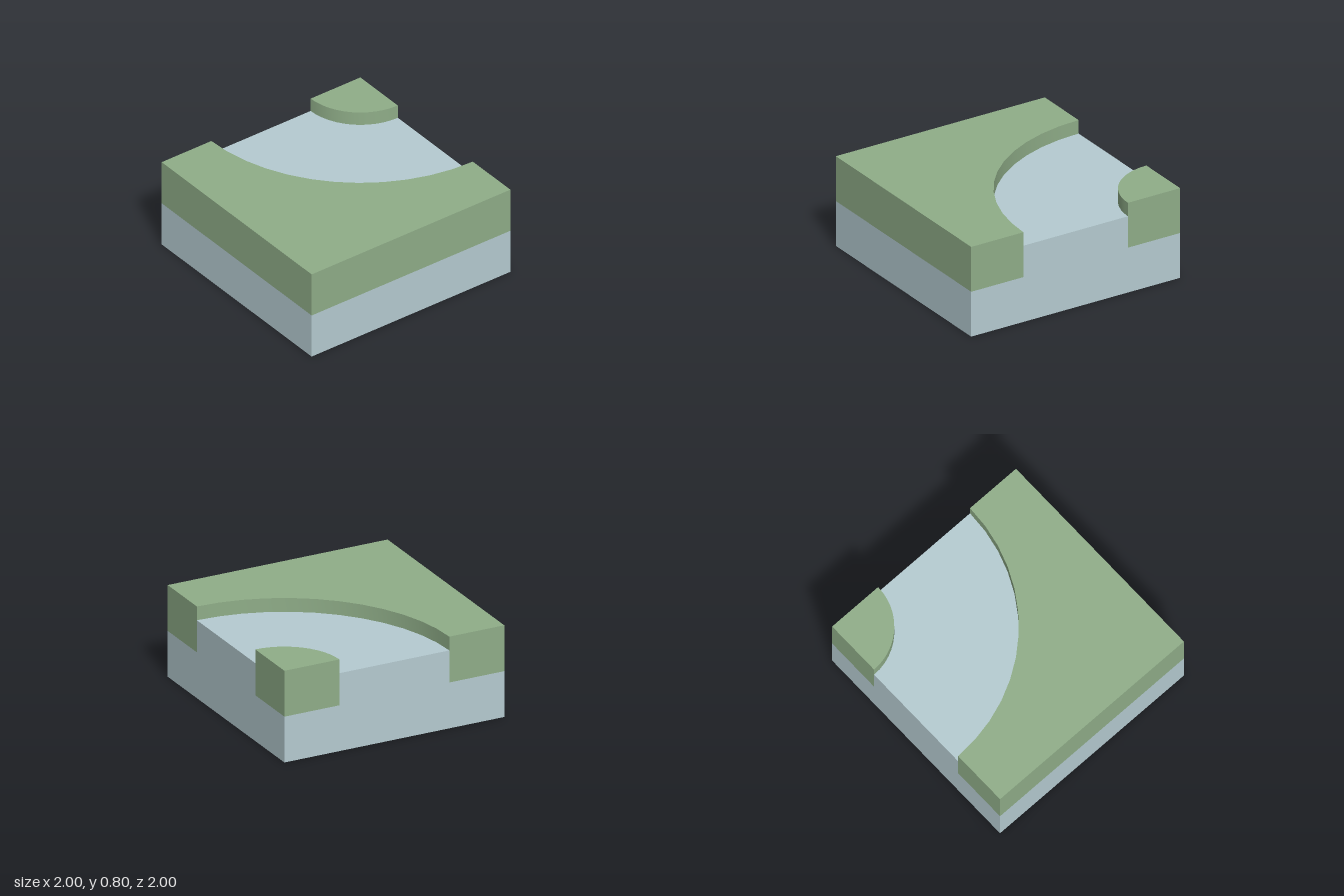
import * as THREE from 'three';
import { toCreasedNormals } from 'three/addons/utils/BufferGeometryUtils.js';

const grass = new THREE.MeshStandardMaterial({ color: 0x8fad88 });
const water = new THREE.MeshStandardMaterial({ color: 0xb5cbd1 });

const BASE_TOP = 0.4, WATER_TOP = 0.68, BANK_TOP = 0.8;
const INNER = 0.5, OUTER = 1.5; // river bend radii about the back right corner

// Plan outlines are drawn with y pointing to the back (-z).
function slab(name, shape, bottom, top, material) {
  const geo = new THREE.ExtrudeGeometry(shape, {
    depth: top - bottom, bevelEnabled: false, curveSegments: 6,
  });
  geo.rotateX(-Math.PI / 2).translate(0, bottom, 0);
  const mesh = new THREE.Mesh(toCreasedNormals(geo, 0.6), material);
  mesh.name = name;
  return mesh;
}

export function createModel() {
  const group = new THREE.Group();
  group.name = 'riverBendTile';

  // Square base block
  const base = new THREE.Mesh(new THREE.BoxGeometry(2, BASE_TOP, 2), water);
  base.position.y = BASE_TOP / 2;
  base.name = 'base';
  group.add(base);

  // Curved river channel
  const river = new THREE.Shape();
  river.moveTo(-1, 1 - OUTER);
  river.absarc(-1, 1, OUTER, -Math.PI / 2, 0, false);
  river.lineTo(-1 + INNER, 1);
  river.absarc(-1, 1, INNER, 0, -Math.PI / 2, true);
  river.closePath();
  group.add(slab('river', river, BASE_TOP, WATER_TOP, water));

  // Large bank outside the bend
  const outer = new THREE.Shape();
  outer.moveTo(-1, -1);
  outer.lineTo(1, -1);
  outer.lineTo(1, 1);
  outer.lineTo(-1 + OUTER, 1);
  outer.absarc(-1, 1, OUTER, 0, -Math.PI / 2, true);
  outer.closePath();
  group.add(slab('outerBank', outer, BASE_TOP, BANK_TOP, grass));

  // Small quarter-round bank inside the bend
  const inner = new THREE.Shape();
  inner.moveTo(-1, 1);
  inner.lineTo(-1, 1 - INNER);
  inner.absarc(-1, 1, INNER, -Math.PI / 2, 0, false);
  inner.closePath();
  group.add(slab('innerBank', inner, BASE_TOP, BANK_TOP, grass));

  return group;
}
